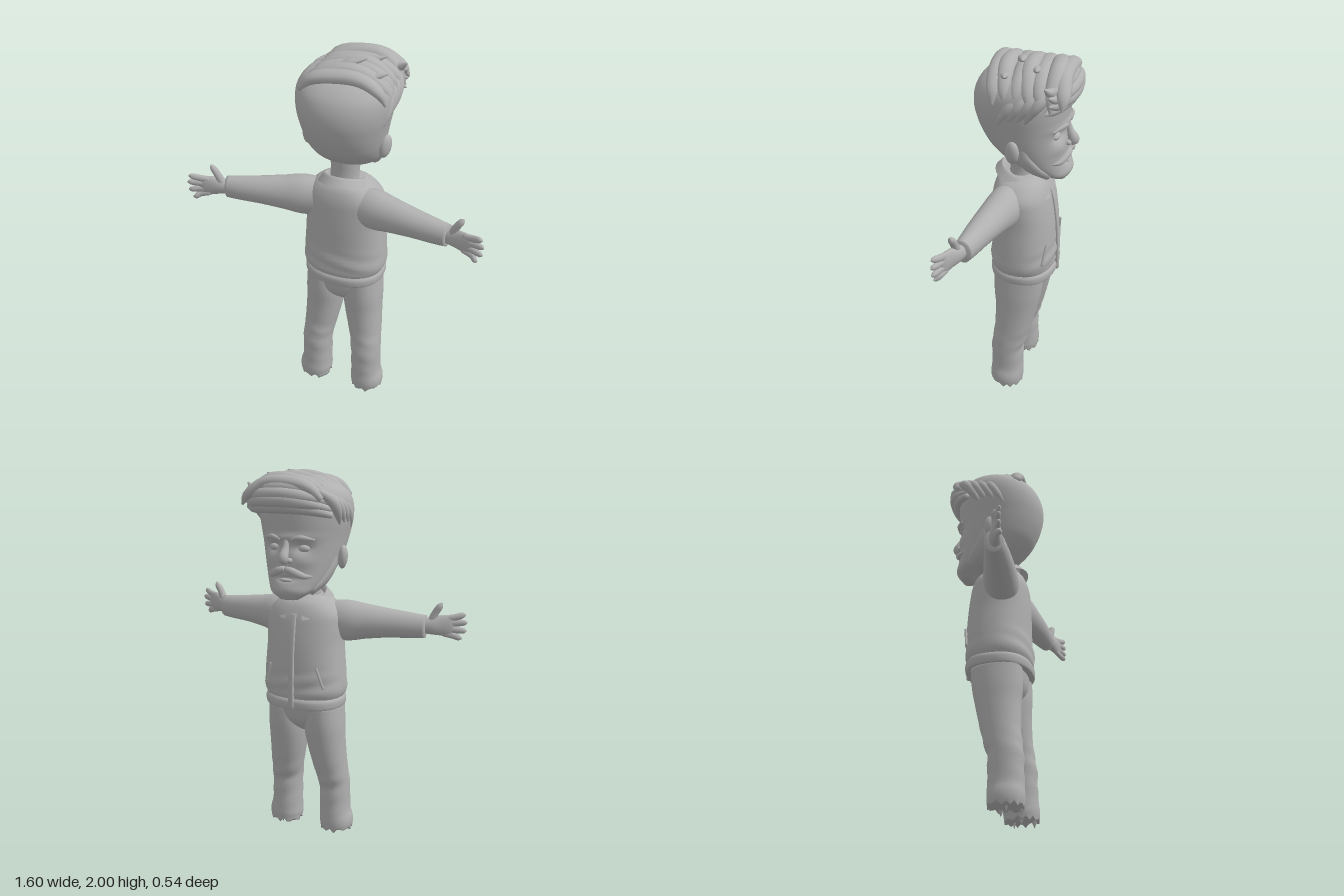
import * as THREE from 'three';

const clay = new THREE.MeshStandardMaterial({ color: 0xb0b0b0, side: THREE.DoubleSide });
clay.name = 'plain grey';
const CX = 0.017; // the body sits slightly to its left
const V3 = (x, y, z) => new THREE.Vector3(x, y, z);
const Y = V3(0, 1, 0), Z = V3(0, 0, 1);

// Smooth loft through sections [x, y, z, radiusU, radiusV]; rings stay level when level is set
function loft(sections, { level = false, ref = Y, steps = 24, sides = 20, pow = 1 } = {}) {
  const path = new THREE.CatmullRomCurve3(sections.map(s => V3(s[0], s[1], s[2])), false, 'catmullrom');
  const radii = new THREE.CatmullRomCurve3(sections.map(s => V3(s[3], s[4], 0)), false, 'catmullrom');
  const pos = [], idx = [], bend = a => Math.sign(a) * Math.abs(a) ** pow;
  for (let i = 0; i <= steps; i++) {
    const c = path.getPoint(i / steps), r = radii.getPoint(i / steps), T = path.getTangent(i / steps);
    const U = level ? V3(1, 0, 0) : ref.clone().cross(T).normalize();
    const W = level ? V3(0, 0, -1) : T.clone().cross(U);
    for (let j = 0; j < sides; j++) {
      const a = j / sides * Math.PI * 2;
      const p = c.clone().addScaledVector(U, bend(Math.cos(a)) * r.x).addScaledVector(W, bend(Math.sin(a)) * r.y);
      pos.push(p.x, p.y, p.z);
      if (i < steps) {
        const k = (j + 1) % sides, A = i * sides, B = A + sides;
        idx.push(A + j, A + k, B + k, A + j, B + k, B + j);
      }
    }
  }
  // end caps
  const n = pos.length / 3, a = path.getPoint(0), b = path.getPoint(1);
  pos.push(a.x, a.y, a.z, b.x, b.y, b.z);
  for (let j = 0; j < sides; j++) {
    const k = (j + 1) % sides, B = steps * sides;
    idx.push(n, k, j, n + 1, B + j, B + k);
  }
  const g = new THREE.BufferGeometry();
  g.setAttribute('position', new THREE.Float32BufferAttribute(pos, 3));
  g.setIndex(idx);
  g.computeVertexNormals();
  return g;
}

// Move vertices by a rule
function warp(g, rule) {
  const p = g.attributes.position, v = V3();
  for (let i = 0; i < p.count; i++) {
    rule(v.fromBufferAttribute(p, i));
    p.setXYZ(i, v.x, v.y, v.z);
  }
  g.computeVertexNormals();
  return g;
}

function add(parent, name, geometry) {
  const m = new THREE.Mesh(geometry, clay);
  m.name = name;
  parent.add(m);
  return m;
}

function ball(parent, name, x, y, z, rx, ry, rz) {
  const m = add(parent, name, new THREE.SphereGeometry(1, 20, 14));
  m.position.set(x, y, z);
  m.scale.set(rx, ry, rz);
  return m;
}

function buildHead() {
  const head = new THREE.Group();
  head.name = 'head';
  // skull and bearded jaw: [y, front z, back z, half width]
  const rings = [[1.36, -0.19, -0.13, 0.05], [1.395, -0.208, -0.07, 0.105], [1.44, -0.205, 0.06, 0.145],
    [1.49, -0.2, 0.14, 0.17], [1.55, -0.197, 0.2, 0.19], [1.61, -0.195, 0.235, 0.205], [1.67, -0.195, 0.258, 0.218],
    [1.74, -0.2, 0.272, 0.233], [1.81, -0.2, 0.266, 0.24], [1.87, -0.19, 0.238, 0.23], [1.92, -0.16, 0.18, 0.19], [1.95, -0.1, 0.1, 0.11]];
  // dents and bulges on the face: [x, y, spread x, spread y, push]
  const bumps = [[0.08, 1.625, 0.04, 0.028, 0.03], [-0.08, 1.625, 0.04, 0.028, 0.03], [0, 1.675, 0.13, 0.016, -0.012],
    [0.1, 1.555, 0.04, 0.03, -0.008], [-0.1, 1.555, 0.04, 0.03, -0.008], [0, 1.47, 0.05, 0.012, 0.018], [0, 1.415, 0.09, 0.035, -0.012]];
  const skull = loft(rings.map(([y, f, b, w]) => [CX, y, (f + b) / 2, w, (b - f) / 2]), { level: true, steps: 60, sides: 56, pow: 0.92 });
  add(head, 'skull', warp(skull, v => {
    if (v.z > -0.06) return;
    for (const [x, y, sx, sy, push] of bumps)
      v.z += push * Math.exp(-(((v.x - CX - x) / sx) ** 2) - ((v.y - y) / sy) ** 2);
  }));

  add(head, 'nose', loft([[CX, 1.675, -0.185, 0.014, 0.014], [CX, 1.62, -0.2, 0.018, 0.02],
    [CX, 1.575, -0.222, 0.026, 0.028], [CX, 1.55, -0.215, 0.02, 0.015]], { ref: Z, steps: 16 }));
  for (const s of [1, -1]) {
    ball(head, 'nostril', CX + s * 0.022, 1.562, -0.2, 0.016, 0.014, 0.018);
    ball(head, 'closedEyelid', CX + s * 0.08, 1.62, -0.152, 0.034, 0.02, 0.022);
    add(head, 'eyebrow', loft([[CX + s * 0.03, 1.665, -0.2, 0.006, 0.008], [CX + s * 0.08, 1.678, -0.193, 0.01, 0.013],
      [CX + s * 0.14, 1.665, -0.155, 0.005, 0.006]], { steps: 12, sides: 10 }));
    add(head, 'moustache', loft([[CX, 1.52, -0.205, 0.014, 0.014], [CX + s * 0.04, 1.508, -0.203, 0.018, 0.02],
      [CX + s * 0.09, 1.485, -0.18, 0.015, 0.016], [CX + s * 0.125, 1.482, -0.15, 0.004, 0.004]], { steps: 16, sides: 12 }));
    const ear = ball(head, 'ear', CX + s * 0.208, 1.565, 0.03, 0.026, 0.062, 0.038);
    ear.rotation.set(-0.15, s * -0.35, s * -0.12);
    // sideburn and jaw beard edge
    add(head, 'beardEdge', loft([[CX + s * 0.185, 1.6, -0.01, 0.012, 0.02], [CX + s * 0.175, 1.52, -0.02, 0.016, 0.035],
      [CX + s * 0.145, 1.45, -0.06, 0.018, 0.04], [CX + s * 0.1, 1.4, -0.12, 0.02, 0.03]], { ref: Z, steps: 14, sides: 12 }));
  }
  ball(head, 'lowerLip', CX, 1.462, -0.198, 0.035, 0.01, 0.014);
  buildHair(head);
  return head;
}

function buildHair(head) {
  const hair = new THREE.Group();
  hair.name = 'hair';
  head.add(hair);
  const lock = pts => add(hair, 'hairLock', loft(pts, { steps: 18, sides: 12 }));
  // rows swept over the crown towards the left
  for (let i = 0; i < 7; i++) {
    const z = 0.14 - i * 0.056, w = Math.sin(i * 2.3) * 0.012, up = i % 2 * 0.012;
    lock([[-0.165, 1.865, z + 0.03, 0.02, 0.015], [-0.1, 1.922, z + 0.015, 0.042, 0.032],
      [0.02, 1.944 + up, z + w, 0.046, 0.036], [0.13, 1.938 + up, z - 0.01 + w, 0.042, 0.034],
      [0.215, 1.885, z - 0.02, 0.034, 0.026], [0.25, 1.82 + w, z - 0.025, 0.006, 0.006]]);
  }
  // overhanging quiff above the forehead
  for (let i = 0; i < 4; i++) {
    const y = 1.915 - i * 0.03, f = -0.2 - Math.sin(i) * 0.025;
    lock([[-0.165 - i * 0.01, y - 0.04, -0.11, 0.015, 0.015], [-0.1, y - 0.008, f + 0.02, 0.03, 0.03],
      [0.02, y + 0.004, f - 0.008, 0.034, 0.036], [0.13, y, f, 0.034, 0.034],
      [0.215, y - 0.012, f + 0.04, 0.026, 0.026], [0.262, y + 0.02 - i * 0.012, f + 0.06, 0.004, 0.004]]);
  }
  // side locks climbing forwards
  for (const s of [1, -1]) for (let i = 0; i < 4; i++) {
    const z = 0.1 - i * 0.045, y = 1.76 + i * 0.008;
    lock([[CX + s * 0.215, y - 0.05, z, 0.008, 0.008], [CX + s * 0.225, y + 0.01, z - 0.035, 0.022, 0.022],
      [CX + s * 0.215, y + 0.07, z - 0.08, 0.026, 0.028], [CX + s * 0.165, y + 0.12, z - 0.13, 0.012, 0.012]]);
  }
  // small tufts at the crown
  for (const [x, y, z] of [[0.07, 1.983, 0.03], [0.14, 1.97, -0.06], [0.03, 1.972, -0.15], [0.19, 1.945, 0.08]])
    lock([[x - 0.1, y - 0.04, z + 0.02, 0.02, 0.015], [x - 0.03, y - 0.012, z, 0.026, 0.02], [x + 0.045, y + 0.012, z - 0.02, 0.004, 0.004]]);
}

function buildJacket(group) {
  // body with soft folds above the waistband
  const body = loft([[CX, 0.81, 0.025, 0.205, 0.162], [CX, 0.86, 0.025, 0.223, 0.174], [CX, 0.98, 0.022, 0.217, 0.168],
    [CX, 1.1, 0.025, 0.208, 0.164], [CX, 1.2, 0.03, 0.208, 0.156], [CX, 1.27, 0.035, 0.2, 0.146],
    [CX, 1.325, 0.04, 0.155, 0.125], [CX, 1.36, 0.05, 0.1, 0.09]], { level: true, steps: 48, sides: 48, pow: 0.85 });
  add(group, 'jacketBody', warp(body, v => {
    const low = Math.max(0, 1 - Math.abs(v.y - 0.9) / 0.1);
    v.z += 0.005 * low * Math.sin(v.y * 70 + v.x * 14) * Math.sign(v.z);
  }));
  add(group, 'waistband', loft([[CX, 0.762, 0.025, 0.2, 0.162], [CX, 0.77, 0.025, 0.214, 0.174],
    [CX, 0.805, 0.025, 0.217, 0.176], [CX, 0.825, 0.025, 0.207, 0.165]], { level: true, steps: 12, sides: 48, pow: 0.85 }));
  add(group, 'frontPlacket', loft([[CX, 0.77, -0.147, 0.016, 0.012], [CX, 0.87, -0.15, 0.016, 0.01],
    [CX, 1.05, -0.144, 0.016, 0.01], [CX, 1.2, -0.126, 0.016, 0.01], [CX, 1.275, -0.108, 0.014, 0.008]], { ref: Z, pow: 0.5 }));
  for (const s of [1, -1])
    add(group, 'pocketWelt', loft([[CX + s * 0.17, 0.89, -0.113, 0.007, 0.007], [CX + s * 0.135, 1.0, -0.127, 0.007, 0.007]], { ref: Z, steps: 6, sides: 8 }));

  // folded collar, open at the front with a point on each side
  const collar = new THREE.PlaneGeometry(1, 1, 48, 8);
  add(group, 'collar', warp(collar, v => {
    const a = -Math.PI / 2 + 0.2 + (v.x + 0.5) * (Math.PI * 2 - 0.4), t = v.y + 0.5;
    const front = Math.max(0, -Math.sin(a)) ** 4, r = 0.085 + 0.055 * t;
    const z = 0.04 + Math.sin(a) * r * (1 + 0.2 * front);
    const drop = t < 0.3 ? (0.3 - t) * 0.1 : (t - 0.3) * (0.08 + 0.02 * front);
    v.set(CX + Math.cos(a) * r * (1 + 0.9 * front * t), 1.372 + (z - 0.04) * 0.36 - drop, z);
  }));
}

function buildArm(s) {
  const arm = new THREE.Group();
  arm.name = s > 0 ? 'leftArm' : 'rightArm';
  const limb = (name, pts, o) => add(arm, name, loft(pts.map(([x, ...r]) => [s * x, ...r]), o));
  limb('sleeve', [[0.08, 1.225, 0.07, 0.085, 0.1], [0.2, 1.224, 0.085, 0.093, 0.108], [0.3, 1.224, 0.105, 0.083, 0.092],
    [0.42, 1.222, 0.128, 0.07, 0.076], [0.54, 1.217, 0.148, 0.056, 0.066], [0.605, 1.216, 0.158, 0.046, 0.06]], { steps: 28, sides: 24 });
  limb('palm', [[0.58, 1.217, 0.158, 0.03, 0.036], [0.63, 1.22, 0.172, 0.03, 0.045], [0.68, 1.224, 0.19, 0.023, 0.054],
    [0.72, 1.222, 0.204, 0.016, 0.056], [0.74, 1.222, 0.211, 0.008, 0.045]], { steps: 16 });
  limb('thumb', [[0.625, 1.235, 0.172, 0.022, 0.022], [0.66, 1.29, 0.178, 0.019, 0.02],
    [0.682, 1.325, 0.18, 0.016, 0.017], [0.692, 1.343, 0.181, 0.004, 0.004]].map(([x, ...r]) => [x - (r[0] > 1.25 ? 0.012 : 0), ...r]), { ref: Z, steps: 12, sides: 12 });
  [[1.267, 0.79], [1.237, 0.8], [1.203, 0.797], [1.172, 0.775]].forEach(([y, tip]) =>
    limb('finger', [[0.69, 1.222 + (y - 1.222) * 0.8, 0.196, 0.014, 0.017], [0.74, y, 0.212, 0.014, 0.018],
      [tip - 0.015, y + (y - 1.22) * 0.25, 0.228, 0.012, 0.015], [tip, y + (y - 1.22) * 0.3, 0.234, 0.003, 0.004]], { steps: 12, sides: 12 }));
  return arm;
}

function buildLeg(s) {
  const leg = new THREE.Group();
  leg.name = s > 0 ? 'leftLeg' : 'rightLeg';
  const x = d => CX + s * d;
  const shape = loft([[x(0.11), 0.78, 0.032, 0.095, 0.135], [x(0.108), 0.66, 0.038, 0.105, 0.13], [x(0.115), 0.55, 0.046, 0.1, 0.115],
    [x(0.134), 0.4, 0.066, 0.088, 0.098], [x(0.146), 0.3, 0.087, 0.082, 0.09], [x(0.15), 0.15, 0.09, 0.082, 0.09],
    [x(0.157), 0.08, 0.092, 0.091, 0.093], [x(0.157), 0.035, 0.092, 0.086, 0.088]], { ref: Z, steps: 40, sides: 28, pow: 0.92 });
  // ragged lower edge and creases at the knee
  add(leg, 'trouserLeg', warp(shape, v => {
    if (v.y < 0.05) v.y += 0.012 * Math.sin(v.x * 170 + v.z * 120);
    v.z += 0.004 * Math.sin(v.y * 60 + v.x * 20) * Math.exp(-(((v.y - 0.3) / 0.12) ** 2));
  }));
  // torn shards under the hem
  for (let i = 0; i < 6; i++) {
    const a = i * 2.1 + s, h = 0.03 + (i % 3) * 0.01;
    const shard = add(leg, 'tornShard', new THREE.ConeGeometry(0.013, h, 4));
    shard.rotation.x = Math.PI;
    shard.position.set(x(0.14) + Math.cos(a) * 0.05, h / 2 + (i % 2) * 0.01, 0.105 + Math.sin(a) * 0.06);
  }
  return leg;
}

export function createModel() {
  const model = new THREE.Group();
  model.name = 'standingMan';
  model.add(buildHead());
  add(model, 'neck', loft([[CX, 1.3, 0.045, 0.085, 0.075], [CX, 1.38, 0.04, 0.075, 0.062], [CX, 1.48, 0.025, 0.08, 0.075]], { level: true }));
  buildJacket(model);
  add(model, 'hips', loft([[CX, 0.615, 0.045, 0.02, 0.06], [CX, 0.65, 0.04, 0.1, 0.1], [CX, 0.7, 0.036, 0.18, 0.128],
    [CX, 0.79, 0.03, 0.2, 0.142]], { level: true, sides: 36, pow: 0.9 }));
  for (const s of [1, -1]) model.add(buildArm(s), buildLeg(s));
  return model;
}
